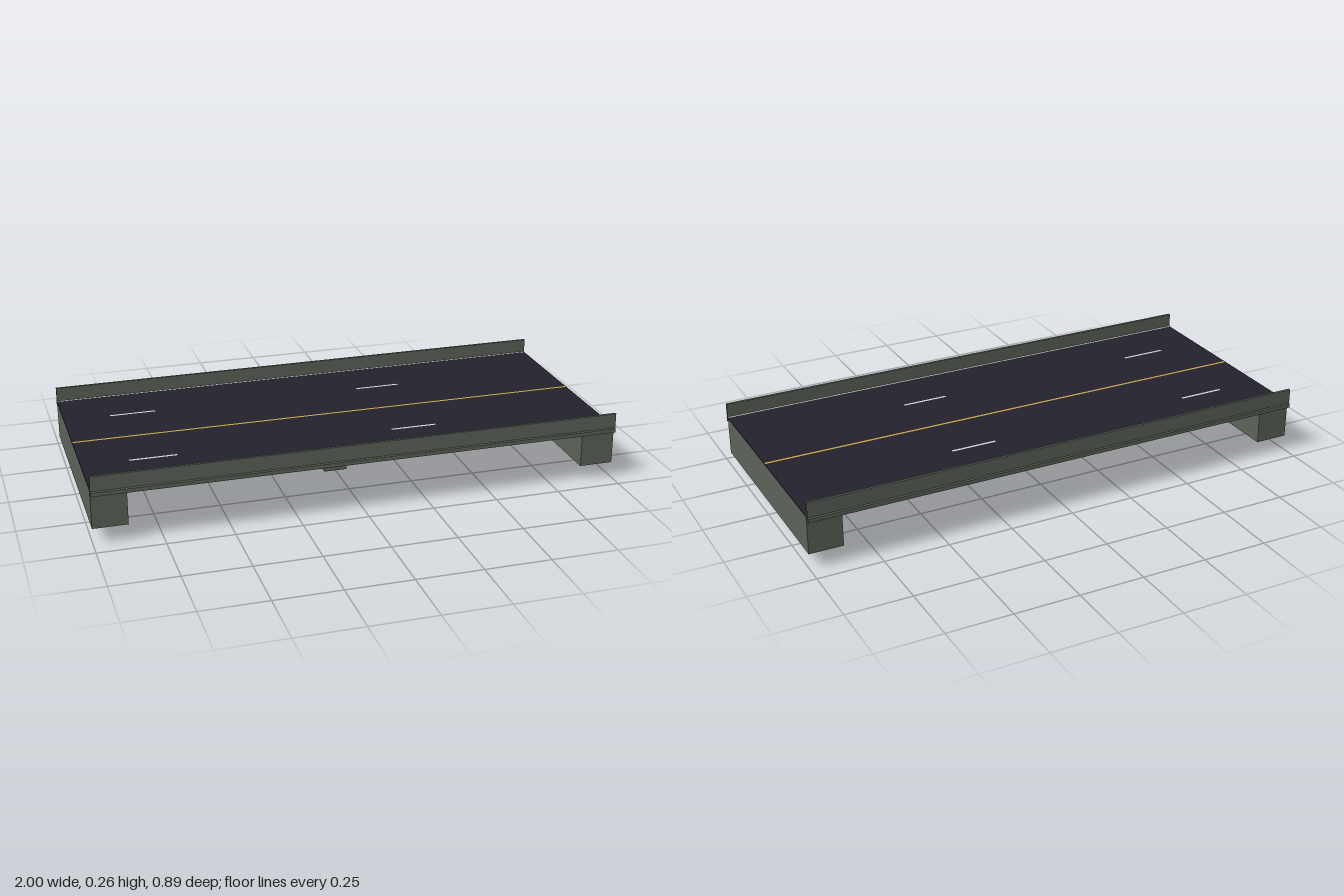
import * as THREE from 'three';

export function createModel() {
  const model = new THREE.Group();
  model.name = 'roadBridge';

  const material = (name, color, side = THREE.FrontSide) => {
    const m = new THREE.MeshStandardMaterial({ color, side });
    m.name = name;
    return m;
  };
  const concrete = material('concrete', 0x5c6358, THREE.DoubleSide);
  const asphalt = material('asphalt', 0x23222d);
  const white = material('whitePaint', 0xd6d6d2);
  const yellow = material('yellowPaint', 0xc9a545);

  // Box given by its limits on each axis
  const box = (name, mat, [x0, x1], [y0, y1], [z0, z1]) => {
    const mesh = new THREE.Mesh(new THREE.BoxGeometry(x1 - x0, y1 - y0, z1 - z0), mat);
    mesh.position.set((x0 + x1) / 2, (y0 + y1) / 2, (z0 + z1) / 2);
    mesh.name = name;
    model.add(mesh);
  };

  // Flat paint on the road surface
  const stripe = (name, mat, x, z, length, width) => {
    const mesh = new THREE.Mesh(new THREE.PlaneGeometry(length, width).rotateX(-Math.PI / 2), mat);
    mesh.position.set(x, 0.2115, z);
    mesh.name = name;
    model.add(mesh);
  };

  // Hollow parapet with open ends: a [z, y] profile swept along x
  const parapetGeometry = (side) => {
    const profile = [[0.43, 0.19], [0.446, 0.19], [0.446, 0.205], [0.441, 0.208],
      [0.441, 0.265], [0.431, 0.265], [0.431, 0.19]];
    const points = [];
    for (let i = 0; i < profile.length - 1; i++) {
      const [az, ay] = profile[i], [bz, by] = profile[i + 1];
      const a0 = [-1, ay, az * side], a1 = [1, ay, az * side];
      const b0 = [-1, by, bz * side], b1 = [1, by, bz * side];
      const corners = side > 0 ? [a0, a1, b1, a0, b1, b0] : [a0, b1, a1, a0, b0, b1];
      points.push(...corners.flat());
    }
    const g = new THREE.BufferGeometry();
    g.setAttribute('position', new THREE.Float32BufferAttribute(points, 3));
    g.computeVertexNormals();
    return g;
  };

  // Deck, road surface and central pier
  box('deck', concrete, [-0.87, 0.87], [0.19, 0.204], [-0.43, 0.43]);
  box('roadSurface', asphalt, [-1, 1], [0.204, 0.21], [-0.43, 0.43]);
  box('pier', concrete, [-0.045, 0.045], [0, 0.19], [-0.073, 0.073]);

  // End supports
  box('rightAbutment', concrete, [-1, -0.87], [0.06, 0.204], [-0.43, 0.43]);
  box('leftAbutment', concrete, [0.87, 1], [0.06, 0.204], [-0.43, 0.43]);

  // Parapets, edge lines and lane dashes on both sides
  for (const side of [-1, 1]) {
    const parapet = new THREE.Mesh(parapetGeometry(side), concrete);
    parapet.name = side > 0 ? 'frontParapet' : 'backParapet';
    model.add(parapet);
    stripe('edgeLine', white, 0, side * 0.427, 2, 0.008);
    for (const x of [-0.735, 0.265]) stripe('laneDash', white, x, side * 0.22, 0.177, 0.01);
  }
  stripe('centreLine', yellow, 0, 0, 2, 0.01);

  return model;
}
